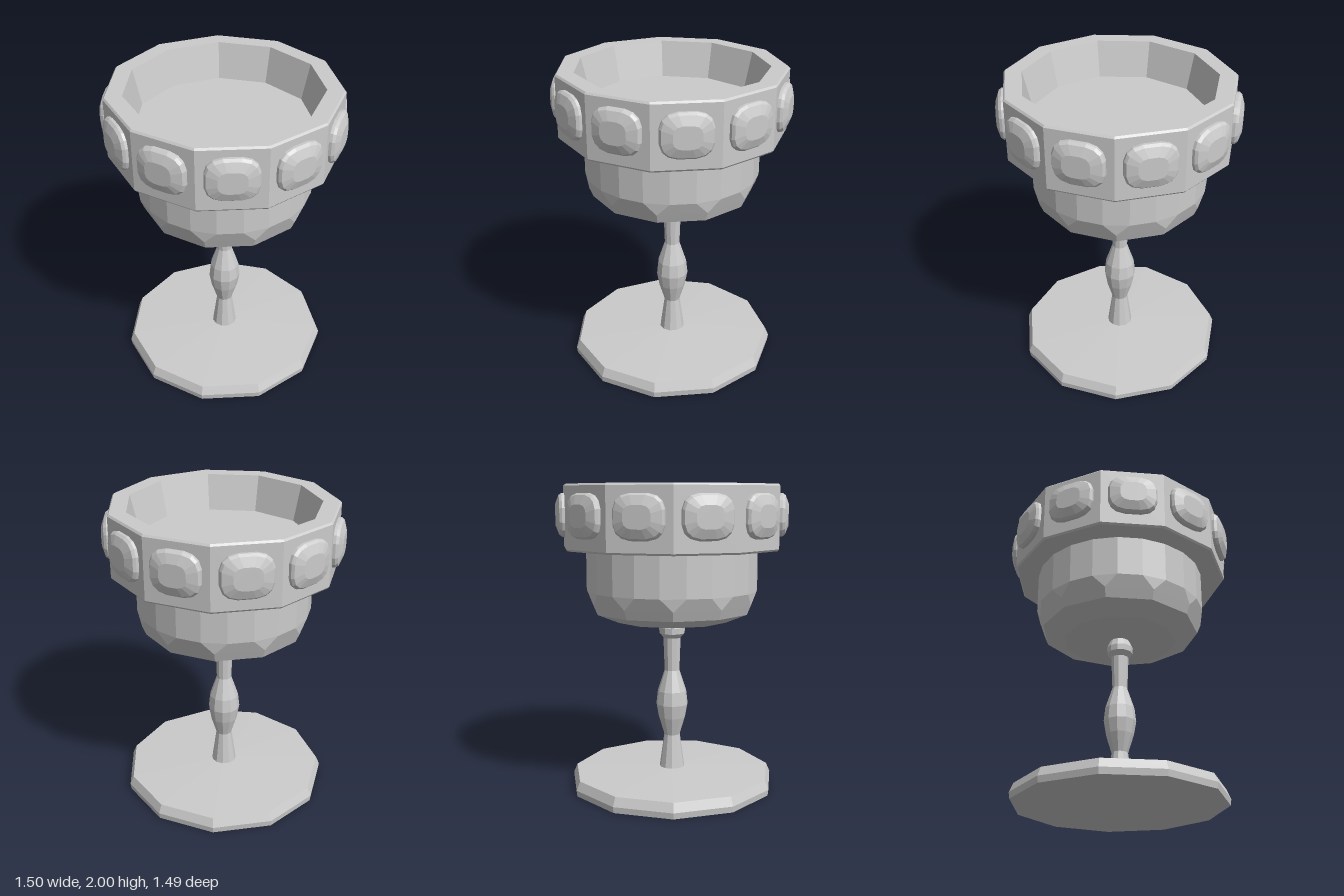
import * as THREE from 'three';
import { ConvexGeometry } from 'three/addons/geometries/ConvexGeometry.js';

const SIDES = 11;
const STEP = (Math.PI * 2) / SIDES;
const material = new THREE.MeshStandardMaterial({ color: 0xcccccc, flatShading: true });

function addMesh(parent, name, geometry) {
  const mesh = new THREE.Mesh(geometry, material);
  mesh.name = name;
  parent.add(mesh);
  return mesh;
}

// Eleven-sided turned part with a flat side facing the front
function turned(profile) {
  const points = profile.map(([r, y]) => new THREE.Vector2(r, y));
  return new THREE.LatheGeometry(points, SIDES, STEP / 2, Math.PI * 2);
}

// Horizontal ring of points, the first at half a side from the front
function ring(count, radius, y) {
  return Array.from({ length: count }, (_, i) => {
    const a = ((i + 0.5) * Math.PI * 2) / count;
    return new THREE.Vector3(radius * Math.sin(a), y, radius * Math.cos(a));
  });
}

// Rounded rectangular cut stone made from stacked outlines, facing +z
function gemGeometry() {
  const layers = [
    [0.158, 0.138, 0.66],
    [0.158, 0.138, 0.71],
    [0.148, 0.125, 0.727],
    [0.085, 0.07, 0.748],
  ];
  const squash = (v) => Math.sign(v) * Math.abs(v) ** 0.68;
  const points = [];
  for (const [w, h, z] of layers) {
    for (let i = 0; i < 16; i++) {
      const a = ((i + 0.5) * Math.PI) / 8;
      points.push(new THREE.Vector3(w * squash(Math.cos(a)), h * squash(Math.sin(a)), z));
    }
  }
  return new ConvexGeometry(points);
}

export function createModel() {
  const model = new THREE.Group();
  model.name = 'goblet';
  const body = new THREE.Group();
  body.name = 'gobletBody';
  body.position.z = -0.007;
  model.add(body);

  // Foot plate with a bevelled edge and a slightly raised top
  addMesh(body, 'foot', turned([
    [0, 0], [0.68, 0], [0.685, 0.04], [0.66, 0.098], [0.08, 0.118], [0, 0.118],
  ]));

  // Baluster stem with a small knob under the bowl
  addMesh(body, 'stem', turned([
    [0.085, 0.11], [0.053, 0.34], [0.09, 0.46], [0.106, 0.55], [0.096, 0.64],
    [0.05, 0.78], [0.058, 1.0], [0.085, 1.03], [0.087, 1.07], [0.065, 1.12], [0.05, 1.14],
  ]));

  // Bowl: chamfered corners above that taper to single corners below
  addMesh(body, 'bowl', new ConvexGeometry([
    ...ring(SIDES * 2, 0.56, 1.62),
    ...ring(SIDES * 2, 0.56, 1.32),
    ...ring(SIDES, 0.545, 1.24),
    ...ring(SIDES, 0.52, 1.18),
    ...ring(SIDES, 0.375, 1.12),
  ]));

  // Wide rim band with the hollow inside
  addMesh(body, 'rim', turned([
    [0.5, 1.588], [0.712, 1.588], [0.722, 1.6], [0.722, 1.988], [0.712, 2],
    [0.607, 2], [0.552, 1.77], [0, 1.77],
  ]));

  // One gem on every side of the rim
  const gem = gemGeometry();
  for (let i = 0; i < SIDES; i++) {
    const mesh = addMesh(body, 'gem', gem);
    mesh.position.y = 1.807;
    mesh.rotation.y = i * STEP;
  }
  return model;
}
